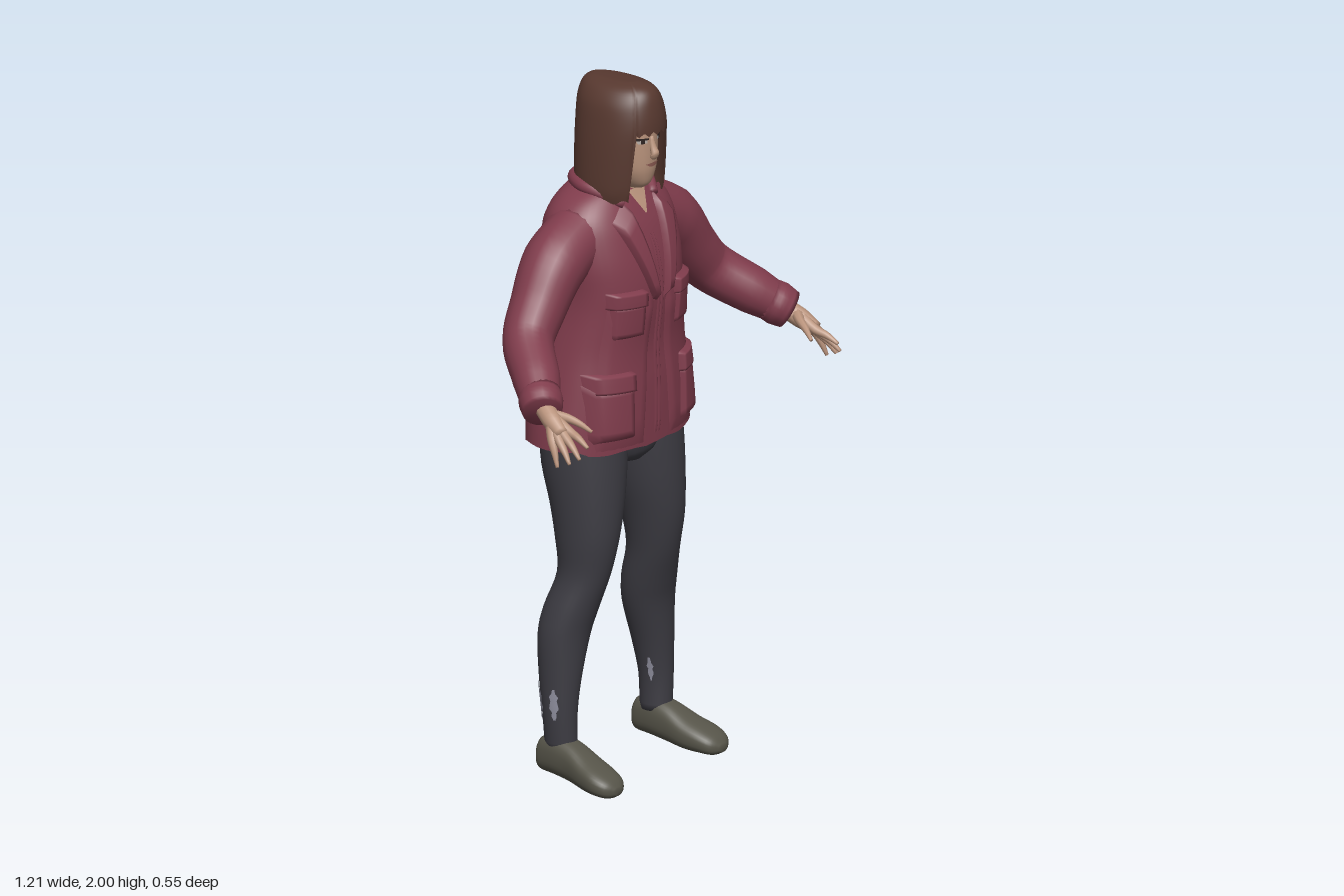
import * as THREE from 'three';
import { mergeVertices } from 'three/addons/utils/BufferGeometryUtils.js';

const paint = (name, color, side = THREE.FrontSide) => {
  const m = new THREE.MeshStandardMaterial({ color, side });
  m.name = name;
  return m;
};

// Smooth surface from a rule f(u, v) -> [x, y, z]
function grid(nu, nv, f) {
  const pos = [], idx = [];
  for (let j = 0; j <= nv; j++) for (let i = 0; i <= nu; i++) pos.push(...f(i / nu, j / nv));
  for (let j = 0; j < nv; j++) for (let i = 0; i < nu; i++) {
    const a = j * (nu + 1) + i, d = a + nu + 1;
    idx.push(a, a + 1, d + 1, a, d + 1, d);
  }
  let g = new THREE.BufferGeometry();
  g.setAttribute('position', new THREE.Float32BufferAttribute(pos, 3));
  g.setIndex(idx);
  g = mergeVertices(g, 1e-5);
  g.computeVertexNormals();
  return g;
}

// Cross-section rows are [height, centre x, half width, front z, back z]
function smooth(rows, k = 4) {
  const out = [], at = i => rows[Math.min(rows.length - 1, Math.max(0, i))];
  for (let i = 0; i < rows.length - 1; i++) for (let s = 0; s < k; s++) {
    const t = s / k, a = at(i - 1), b = at(i), c = at(i + 1), d = at(i + 2);
    out.push(b.map((_, n) => b[n] + 0.5 * t * (c[n] - a[n] + t * (2 * a[n] - 5 * b[n] + 4 * c[n] - d[n]
      + t * (3 * (b[n] - c[n]) + d[n] - a[n])))));
  }
  out.push(rows[rows.length - 1]);
  return out;
}
function sample(rows, y) {
  let i = 0;
  while (i < rows.length - 2 && rows[i + 1][0] < y) i++;
  const a = rows[i], b = rows[i + 1], t = THREE.MathUtils.clamp((y - a[0]) / (b[0] - a[0]), 0, 1);
  return a.map((v, n) => v + (b[n] - v) * t);
}
const pw = (v, e) => Math.sign(v) * Math.abs(v) ** e;
function ring([y, cx, hw, zf, zb], a, n = 2, s = 1) {
  return [cx + s * hw * pw(Math.sin(a), 2 / n), y, (zf + zb) / 2 + s * (zf - zb) / 2 * pw(Math.cos(a), 2 / n)];
}
function loft(rows, n = 2, capLow = true, capHigh = true, seg = 32) {
  const r = rows.map(row => [row, 1]);
  if (capLow) r.unshift([rows[0], 0]);
  if (capHigh) r.push([rows[rows.length - 1], 0]);
  return grid(seg, r.length - 1, (u, v) => {
    const [row, s] = r[Math.round(v * (r.length - 1))];
    return ring(row, (u * 2 - 1) * Math.PI, n, s);
  });
}
// Panel lying on the front of a loft; corners: lower left, lower right, upper right, upper left
function panel(rows, n, [a, b, c, d], lift, sink = null, res = 10) {
  return grid(res, res, (u, v) => {
    const mix = k => (a[k] * (1 - u) + b[k] * u) * (1 - v) + (d[k] * (1 - u) + c[k] * u) * v;
    const x = mix(0), y = mix(1), [, cx, hw, zf, zb] = sample(rows, y);
    const q = Math.max(0, 1 - Math.abs((x - cx) / hw) ** n) ** (1 / n);
    const edge = u < 1e-6 || v < 1e-6 || u > 1 - 1e-6 || v > 1 - 1e-6;
    return [x, y, (zf + zb) / 2 + (zf - zb) / 2 * q + (edge && sink !== null ? sink : lift)];
  });
}
const box = (x0, x1, y0, y1) => [[x0, y0], [x1, y0], [x1, y1], [x0, y1]];

// Tapered tube through points [x, y, z, radius]
function limb(pts, seg = 14, steps = 20) {
  const curve = new THREE.CatmullRomCurve3(pts.map(p => new THREE.Vector3(p[0], p[1], p[2])));
  const fr = curve.computeFrenetFrames(steps), m = pts.length - 1;
  return grid(seg, steps + 2, (u, v) => {
    const k = Math.round(v * (steps + 2)) - 1, i = THREE.MathUtils.clamp(k, 0, steps), t = i / steps;
    const j = Math.min(m - 1, Math.floor(t * m)), w = t * m - j;
    const r = k < 0 || k > steps ? 0 : pts[j][3] * (1 - w) + pts[j + 1][3] * w;
    const a = u * Math.PI * 2;
    return curve.getPoint(t).addScaledVector(fr.normals[i], r * Math.cos(a))
      .addScaledVector(fr.binormals[i], r * Math.sin(a)).toArray();
  });
}
function mirrored(g) {
  const m = g.clone().scale(-1, 1, 1), i = m.index.array;
  for (let k = 0; k < i.length; k += 3) [i[k], i[k + 1]] = [i[k + 1], i[k]];
  m.computeVertexNormals();
  return m;
}

export function createModel() {
  const root = new THREE.Group();
  root.name = 'standingWoman';
  const red = paint('jacketRed', 0x803c4c, THREE.DoubleSide), dark = paint('trouserCharcoal', 0x3d3c43);
  const brown = paint('hairBrown', 0x57382f, THREE.DoubleSide), skin = paint('skin', 0xb9937c, THREE.DoubleSide);
  const shoe = paint('shoeOlive', 0x565449), pale = paint('ankleGrey', 0x8f8f9e, THREE.DoubleSide);
  const ink = paint('eyeDark', 0x2c2220, THREE.DoubleSide), lip = paint('lips', 0x8f5d54, THREE.DoubleSide);
  const white = paint('eyeWhite', 0xb5aca6, THREE.DoubleSide);
  const add = (name, g, m) => {
    const mesh = new THREE.Mesh(g, m);
    mesh.name = name;
    root.add(mesh);
    return mesh;
  };
  const pair = (name, g, m) => { add(name + 'Left', g, m); add(name + 'Right', mirrored(g), m); };

  // Trousers
  const leg = smooth([[.1, .21, .042, -.045, -.14], [.2, .213, .047, -.045, -.145], [.3, .205, .058, -.04, -.16],
    [.42, .187, .077, -.03, -.172], [.5, .172, .078, -.01, -.163], [.6, .153, .07, .02, -.135],
    [.7, .145, .082, .04, -.147], [.8, .135, .098, .046, -.17], [.9, .127, .112, .045, -.2], [.99, .12, .12, .04, -.21]]);
  pair('trouserLeg', loft(leg), dark);
  add('trouserSeat', loft(smooth([[.9, 0, .06, .01, -.16], [.93, 0, .18, .03, -.19], [1.0, 0, .24, .04, -.21]])), dark);

  // Worn pale patches at the ankles: angle, half angle, low, high
  [[1.25, .3, .19, .28], [2.35, .4, .18, .29], [-1.2, .2, .19, .26], [3.2, .3, .2, .27]].forEach(([a, h, y0, y1], k) =>
    pair('anklePatch' + k, grid(6, 8, (u, v) => {
      const y = y0 + (y1 - y0) * v;
      const w = h * (.25 + .75 * Math.sin(Math.PI * v)) * (.75 + .25 * Math.sin(v * 19 + k));
      return ring(sample(leg, y), a + w * (u * 2 - 1), 2, 1.05);
    }), pale));

  // Shoes, lofted from heel to toe
  const shoeRows = smooth([[-.158, .212, .02, -.04, -.08], [-.15, .212, .036, -.025, -.12], [-.1, .213, .044, -.02, -.135],
    [-.04, .215, .048, -.012, -.122], [.02, .222, .056, -.003, -.092], [.07, .23, .057, 0, -.072],
    [.108, .232, .044, 0, -.052], [.127, .233, .015, -.01, -.03]]);
  pair('shoe', loft(shoeRows, 2.5).rotateX(Math.PI / 2), shoe);

  // Jacket body with an uneven hem
  const coat = smooth([[.965, 0, .272, .077, -.27], [1.05, 0, .264, .078, -.272], [1.15, 0, .246, .077, -.262],
    [1.25, 0, .226, .073, -.246], [1.35, 0, .208, .084, -.23], [1.42, 0, .204, .088, -.227], [1.5, 0, .212, .077, -.237],
    [1.58, 0, .212, .053, -.24], [1.63, 0, .198, .03, -.225], [1.67, 0, .16, .008, -.205],
    [1.7, 0, .105, -.008, -.18], [1.712, 0, .07, -.02, -.15]]);
  const body = loft(coat, 2.3, false, true, 48), bp = body.attributes.position;
  for (let i = 0; i < bp.count; i++) {
    if (bp.getY(i) < .97) bp.setY(i, .968 + .012 * Math.sin(bp.getX(i) * 43) * (bp.getZ(i) < 0 ? 1 : .25));
  }
  add('jacketBody', body, red);
  const onCoat = (name, corners, lift) => pair(name, panel(coat, 2.3, corners, lift, -.003), red);
  onCoat('jacketFront', [[.055, .968], [.225, .968], [.165, 1.42], [.018, 1.42]], .008);
  onCoat('hipPocket', box(.1, .225, 1.0, 1.17), .022);
  onCoat('hipPocketFlap', box(.095, .222, 1.14, 1.2), .027);
  onCoat('chestPocket', box(.065, .165, 1.29, 1.4), .018);
  onCoat('chestPocketFlap', box(.06, .17, 1.38, 1.43), .022);
  onCoat('lapel', [[.012, 1.38], [.032, 1.39], [.125, 1.62], [.06, 1.675]], .02);
  onCoat('shirtPlacket', [[.002, .972], [.012, .972], [.01, 1.6], [.002, 1.6]], .005);
  pair('collar', limb([[.065, 1.66, .012, .014], [.1, 1.69, -.04, .018], [.105, 1.702, -.1, .02],
    [.065, 1.705, -.16, .02], [0, 1.705, -.18, .02]]), red);

  // Sleeves and cuffs
  pair('sleeve', limb([[.13, 1.575, -.09, .092], [.25, 1.515, -.085, .092], [.33, 1.42, -.077, .08],
    [.4, 1.34, -.058, .072], [.48, 1.265, .035, .066], [.545, 1.208, .105, .05]], 20, 30), red);
  pair('cuff', limb([[.505, 1.243, .065, .058], [.525, 1.226, .085, .062], [.546, 1.207, .108, .055]], 20, 6), red);

  // Hands
  pair('palm', limb([[.53, 1.22, .095, .028], [.55, 1.19, .145, .028], [.562, 1.163, .19, .02]], 12, 10), skin);
  [[[.545, 1.168, .205], [.555, 1.14, .272]], [[.562, 1.158, .2], [.578, 1.11, .262]],
    [[.575, 1.15, .188], [.592, 1.095, .238]], [[.583, 1.145, .17], [.598, 1.08, .2]],
    [[.517, 1.195, .17], [.487, 1.16, .233]]].forEach(([k, t], i) =>
    pair(i < 4 ? 'finger' + i : 'thumb',
      limb([[.545, 1.205, .135, .018], [...k, .0135], [(k[0] + t[0]) / 2, (k[1] + t[1]) / 2 + .004, (k[2] + t[2]) / 2, .01],
        [...t, .005]], 8, 12), skin));

  // Neck and head
  add('neck', loft([[1.62, 0, .055, -.01, -.13], [1.69, 0, .048, 0, -.12], [1.76, 0, .045, 0, -.12]]), skin);
  add('neckline', panel(coat, 2.3, [[-.003, 1.625], [.003, 1.625], [.036, 1.69], [-.036, 1.69]], .007), skin);
  const head = smooth([[1.697, 0, .022, .03, -.04], [1.71, 0, .037, .046, -.08], [1.735, 0, .054, .055, -.1],
    [1.77, 0, .067, .06, -.12], [1.84, 0, .076, .06, -.14], [1.9, 0, .074, .055, -.15], [1.95, 0, .05, .03, -.11]]);
  add('head', loft(head, 2.2), skin);
  const onFace = (name, corners, lift, m) => pair(name, panel(head, 2.2, corners, lift, null, 4), m);
  onFace('eye', [[.022, 1.836], [.046, 1.836], [.05, 1.847], [.02, 1.848]], .003, white);
  onFace('iris', box(.03, .04, 1.836, 1.848), .005, ink);
  onFace('lash', [[.019, 1.846], [.051, 1.846], [.055, 1.853], [.019, 1.851]], .006, ink);
  onFace('brow', [[.014, 1.863], [.055, 1.863], [.056, 1.87], [.014, 1.87]], .004, brown);
  onFace('mouth', [[0, 1.764], [.012, 1.766], [.027, 1.774], [0, 1.776]], .003, lip);
  add('nose', limb([[0, 1.85, .055, .007], [0, 1.82, .063, .01], [0, 1.8, .07, .013], [0, 1.792, .06, .01]], 10, 10), skin);

  // Bobbed hair: a fringe in front, long at the sides and back
  const hair = smooth([[1.66, 0, .108, .06, -.165], [1.7, 0, .117, .07, -.18], [1.8, 0, .114, .08, -.183],
    [1.88, 0, .106, .085, -.183], [1.94, 0, .094, .077, -.181], [1.975, 0, .074, .063, -.173],
    [1.992, 0, .052, .04, -.16], [2.0, 0, .025, .005, -.14]]);
  add('hair', grid(96, 32, (u, v) => {
    const a = (u * 2 - 1) * Math.PI, k = Math.abs(a);
    const low = k < .66 ? 1.868 + .006 * Math.sin(a * 24) : 1.672 + .006 * Math.sin(a * 13);
    if (v > .999) return [0, 2, -.065];
    return ring(sample(hair, low + (2 - low) * (1 - (1 - v / .969) ** 1.5 || 0)), a, 2.1);
  }), brown);
  return root;
}
